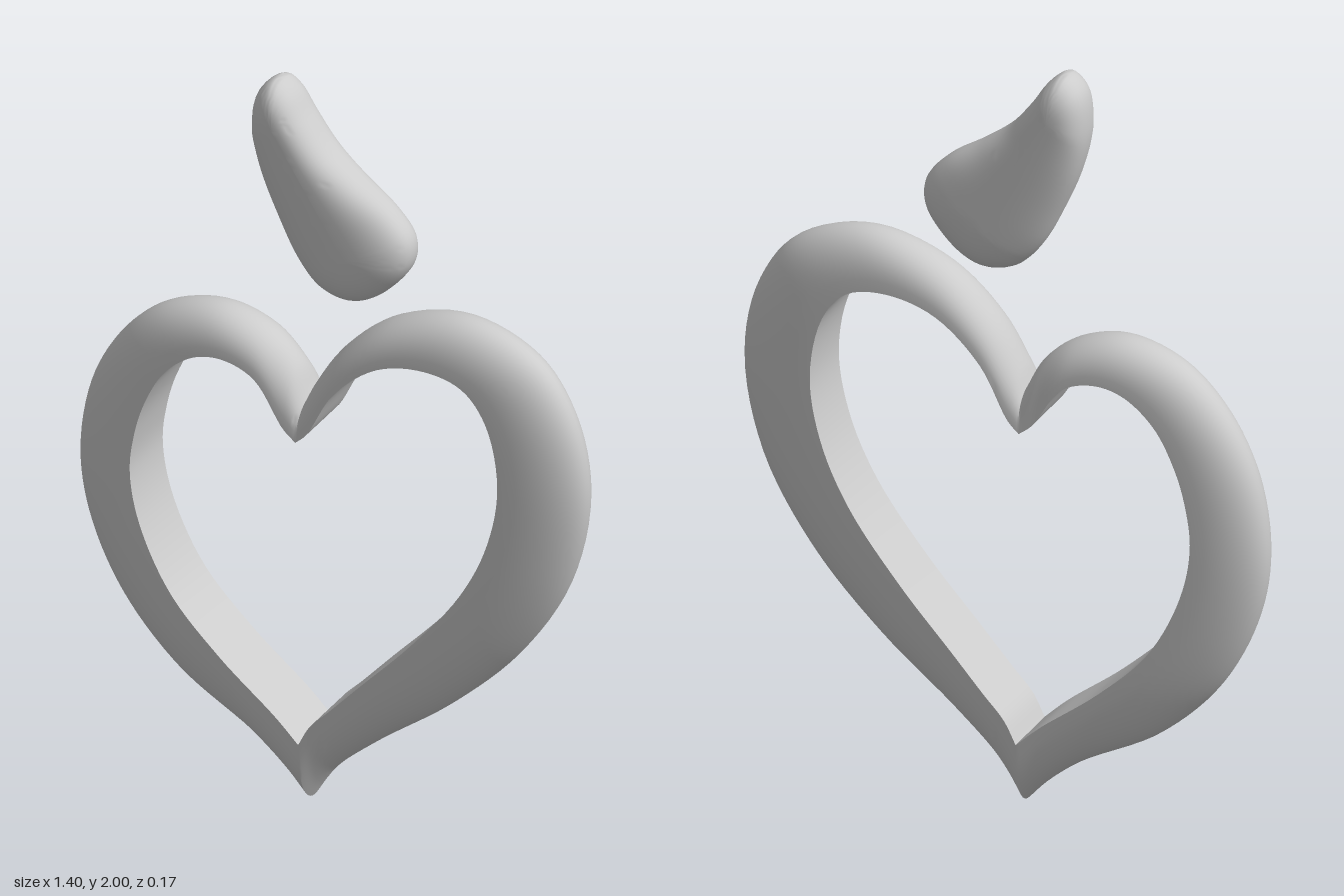
import * as THREE from 'three';
import { toCreasedNormals } from 'three/addons/utils/BufferGeometryUtils.js';

const material = new THREE.MeshStandardMaterial({ color: 0xcccccc });

// Smooth curve through [x, y] pairs, sampled evenly per control point
function sample(pairs, steps, closed = false) {
  const curve = new THREE.CatmullRomCurve3(pairs.map(([x, y]) => new THREE.Vector3(x, y, 0)), closed);
  return Array.from({ length: steps + 1 }, (_, i) => curve.getPoint(i / steps));
}

// Skin a closed clockwise loop of cross-sections, each running from back to front
function skin(sections, wrapSection) {
  const n = sections.length, m = sections[0].length, index = [];
  for (let i = 0; i < n; i++) {
    for (let j = 0; j < (wrapSection ? m : m - 1); j++) {
      const k = (j + 1) % m, next = (i + 1) % n;
      const a = i * m + j, b = i * m + k, c = next * m + j, d = next * m + k;
      index.push(a, b, c, b, d, c);
    }
  }
  const geometry = new THREE.BufferGeometry();
  geometry.setAttribute('position', new THREE.Float32BufferAttribute(sections.flat().flatMap((p) => p.toArray()), 3));
  geometry.setIndex(index);
  return toCreasedNormals(geometry, 0.75);
}

// Rounded section from an inner point at full depth out to a rim and back
function roundedSection(outer, inner, depth, spread, bulge, steps = 20) {
  return Array.from({ length: steps + 1 }, (_, j) => {
    const a = (j / steps - 0.5) * Math.PI;
    const reach = Math.pow(Math.max(Math.cos(a), 0), spread);
    const p = inner.clone().lerp(outer, j === 0 || j === steps ? 0 : reach);
    p.z = depth * Math.sign(a) * Math.pow(Math.abs(Math.sin(a)), bulge);
    return p;
  });
}

// Each lobe: outer and inner outlines paired point by point, bottom tip to notch
const leftOuter = [[-.06, .005], [-.11, .06], [-.2, .135], [-.415, .26], [-.575, .425], [-.67, .615], [-.702, .8],
  [-.67, 1.01], [-.585, 1.17], [-.47, 1.275], [-.32, 1.318], [-.19, 1.285], [-.105, 1.215], [-.065, 1.14]];
const leftInner = [[-.062, .185], [-.125, .245], [-.28, .37], [-.415, .51], [-.5, .68], [-.527, .82], [-.515, .93],
  [-.485, 1.03], [-.43, 1.13], [-.35, 1.195], [-.27, 1.21], [-.185, 1.18], [-.105, 1.065], [-.07, 1.035]];
const rightOuter = [[-.06, .005], [-.03, .055], [.01, .11], [.125, .215], [.325, .375], [.51, .57], [.645, .8],
  [.697, 1.06], [.655, 1.27], [.555, 1.405], [.365, 1.47], [.165, 1.415], [.03, 1.3], [-.045, 1.185], [-.065, 1.14]];
const rightInner = [[-.062, .185], [-.03, .245], [.025, .305], [.11, .4], [.25, .555], [.385, .735], [.46, .9],
  [.488, 1.07], [.455, 1.235], [.39, 1.315], [.285, 1.337], [.155, 1.305], [.035, 1.2], [-.04, 1.065], [-.07, 1.035]];

function heartGeometry() {
  const steps = 84;
  const lobe = (outer, inner) => {
    const inside = sample(inner, steps);
    return sample(outer, steps).map((p, i) => roundedSection(p, inside[i], 0.083, 0.8, 1));
  };
  const left = lobe(leftOuter, leftInner);
  const right = lobe(rightOuter, rightInner).reverse();
  return skin([...left.slice(0, -1), ...right.slice(0, -1)], true);
}

// Leaf: bean outline rounded in towards a short straight spine
const leafOutline = [[-.16, 2], [-.12, 1.975], [-.075, 1.91], [-.015, 1.835], [.06, 1.775], [.155, 1.71],
  [.208, 1.645], [.21, 1.58], [.165, 1.51], [.1, 1.455], [.04, 1.437], [-.035, 1.457], [-.095, 1.52],
  [-.15, 1.625], [-.2, 1.75], [-.22, 1.86], [-.205, 1.96]];

function leafGeometry() {
  const spine = new THREE.Line3(new THREE.Vector3(-.14, 1.89, 0), new THREE.Vector3(.06, 1.58, 0));
  const rim = sample(leafOutline, 102, true).slice(0, -1);
  return skin(rim.map((p) => {
    const core = spine.closestPointToPoint(p, true, new THREE.Vector3());
    return roundedSection(p, core, 0.077, 0.75, 0.85);
  }), false);
}

export function createModel() {
  const group = new THREE.Group();
  const parts = { heartRing: heartGeometry(), leaf: leafGeometry() };
  for (const [name, geometry] of Object.entries(parts)) {
    const mesh = new THREE.Mesh(geometry, material);
    mesh.name = name;
    group.add(mesh);
  }
  return group;
}
